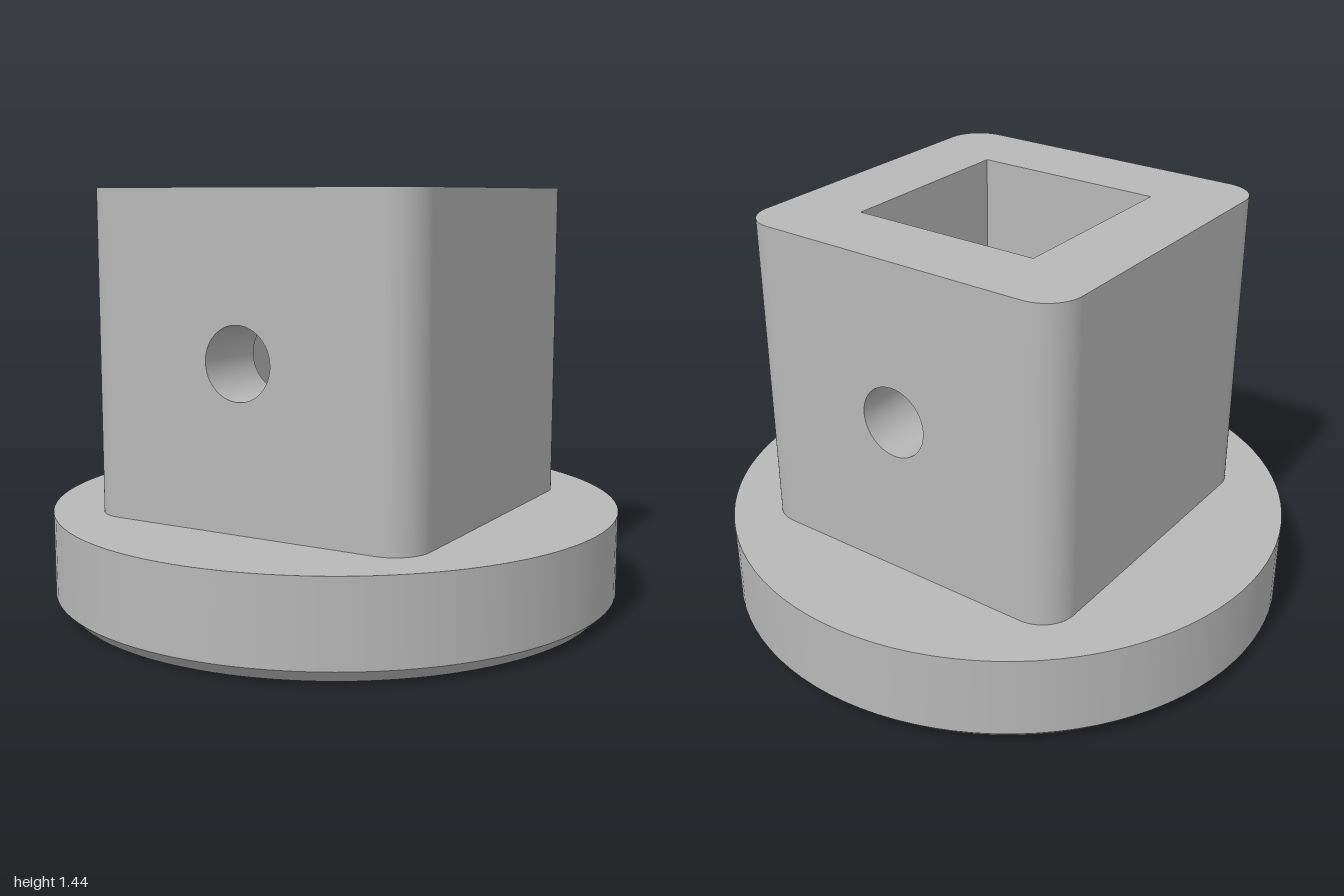
import * as THREE from 'three';

const BASE_TOP = 0.333, TOP = 1.443;   // flange top, socket top
const OUT = 0.622, IN = 0.345, R = 0.125; // socket half widths, corner radius
const BORE_Y = 0.89, BORE_R = 0.123;

const grey = new THREE.MeshStandardMaterial({ color: 0xb8b8b8, side: THREE.DoubleSide });
grey.name = 'plain grey';

function add(parent, name, geometry) {
  const mesh = new THREE.Mesh(geometry, grey);
  mesh.name = name;
  parent.add(mesh);
  return mesh;
}

// Rectangle path from corner to corner
function rect(path, x0, y0, x1, y1) {
  path.moveTo(x0, y0).lineTo(x1, y0).lineTo(x1, y1).lineTo(x0, y1).closePath();
  return path;
}

// Square with rounded corners, centred on the origin
function roundedSquare(path) {
  const c = OUT - R;
  for (let i = 0; i < 4; i++) {
    const a = i * Math.PI / 2;
    const sx = i === 0 || i === 3 ? 1 : -1, sy = i < 2 ? 1 : -1;
    path.absarc(sx * c, sy * c, R, a, a + Math.PI / 2, false);
  }
  path.closePath();
  return path;
}

function circle(path, y, r) {
  path.absarc(0, y, r, 0, Math.PI * 2, false);
  return path;
}

// Flat upward-facing surface at height y
function level(shape, y, segments) {
  return new THREE.ShapeGeometry(shape, segments).rotateX(-Math.PI / 2).translate(0, y, 0);
}

// One straight band of a turned surface, so its edges stay sharp
function band(r0, y0, r1, y1) {
  return new THREE.LatheGeometry([new THREE.Vector2(r0, y0), new THREE.Vector2(r1, y1)], 96);
}

// Upright wall face, bored if asked
function wall(halfWidth, z, bored) {
  const shape = rect(new THREE.Shape(), -halfWidth, BASE_TOP, halfWidth, TOP);
  if (bored) shape.holes.push(circle(new THREE.Path(), BORE_Y, BORE_R));
  return new THREE.ShapeGeometry(shape, 24).translate(0, 0, z);
}

export function createModel() {
  const model = new THREE.Group();
  model.name = 'flangedSocket';

  // Round flange with a chamfered lower edge
  const flange = new THREE.Group();
  flange.name = 'flange';
  model.add(flange);
  add(flange, 'flangeBottom', band(0, 0, 0.955, 0));
  add(flange, 'flangeChamfer', band(0.955, 0, 1, 0.045));
  add(flange, 'flangeRim', band(1, 0.045, 1, BASE_TOP));
  const disc = circle(new THREE.Shape(), 0, 1);
  disc.holes.push(roundedSquare(new THREE.Path()));
  add(flange, 'flangeTop', level(disc, BASE_TOP, 48));

  // Square socket: four sides with rounded corners
  const socket = new THREE.Group();
  socket.name = 'socket';
  model.add(socket);
  const height = TOP - BASE_TOP;
  for (let i = 0; i < 4; i++) {
    const bored = i % 2 === 0;
    const side = new THREE.Group();
    side.name = 'socketSide';
    side.rotation.y = i * Math.PI / 2;
    socket.add(side);
    add(side, 'outerWall', wall(OUT - R, OUT, bored));
    add(side, 'innerWall', wall(IN, -IN, bored));
    add(side, 'roundedCorner',
      new THREE.CylinderGeometry(R, R, height, 24, 1, true, 0, Math.PI / 2)
        .translate(OUT - R, BASE_TOP + height / 2, OUT - R));
    // Pin hole through the front and back walls
    if (bored) {
      const bore = new THREE.LatheGeometry(
        [new THREE.Vector2(BORE_R, OUT), new THREE.Vector2(BORE_R, IN)], 48);
      add(side, 'pinHole', bore.rotateX(Math.PI / 2).translate(0, BORE_Y, 0));
    }
  }

  // Socket lip and floor
  const lip = roundedSquare(new THREE.Shape());
  lip.holes.push(rect(new THREE.Path(), -IN, -IN, IN, IN));
  add(socket, 'socketLip', level(lip, TOP, 12));
  add(socket, 'socketFloor', level(rect(new THREE.Shape(), -IN, -IN, IN, IN), BASE_TOP, 1));

  return model;
}
